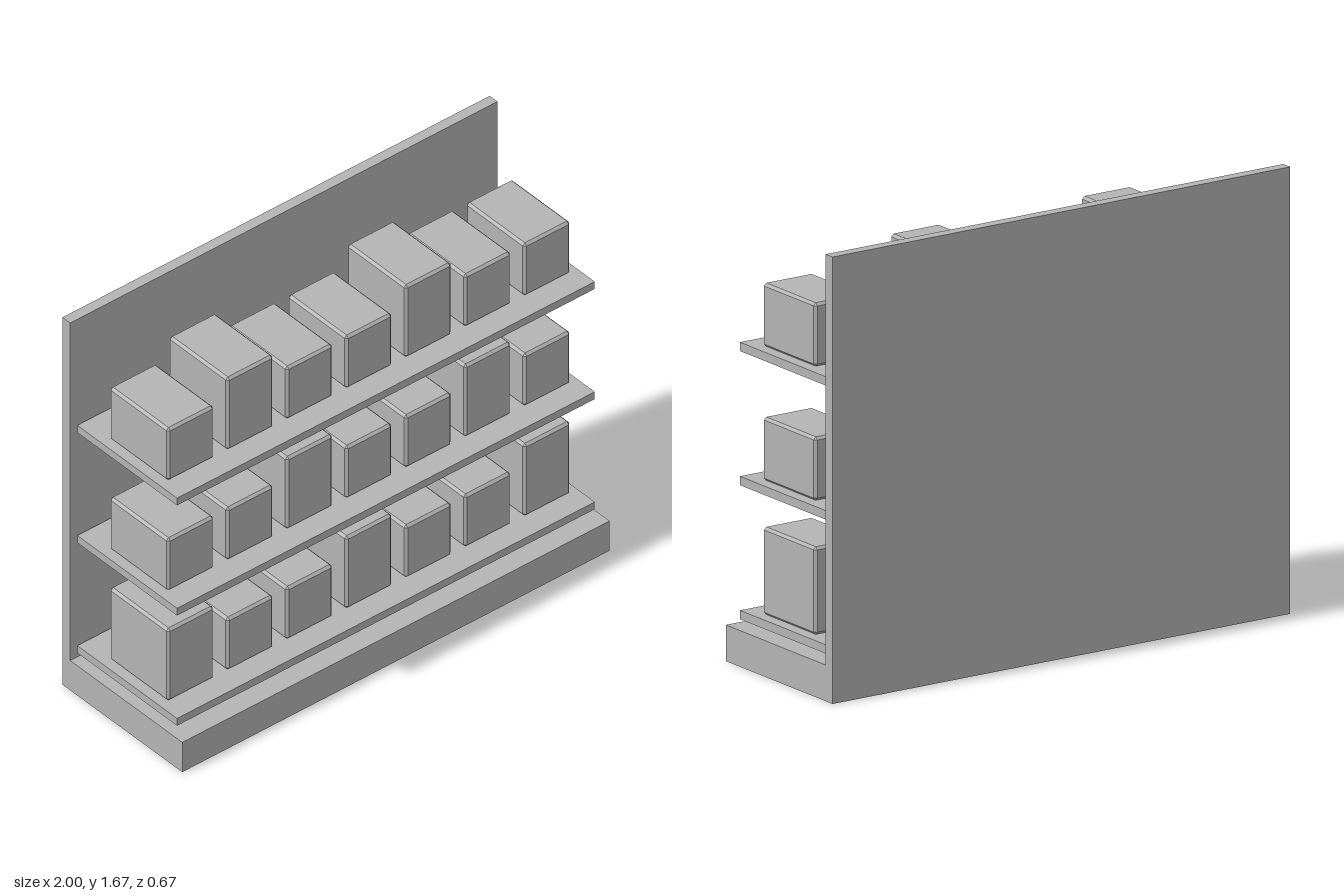
import * as THREE from 'three';
import { ConvexGeometry } from 'three/addons/geometries/ConvexGeometry.js';

const grey = new THREE.MeshStandardMaterial({ color: 0xb4b4b4 });
grey.name = 'light grey';

function addMesh(parent, name, geometry, x = 0, y = 0, z = 0) {
  const mesh = new THREE.Mesh(geometry, grey);
  mesh.name = name;
  mesh.position.set(x, y, z);
  parent.add(mesh);
  return mesh;
}

// Box with a flat chamfer c on every edge, standing on y = 0
function chamferedBox(w, h, d, c) {
  const points = [];
  for (const sx of [-1, 1]) for (const sy of [-1, 1]) for (const sz of [-1, 1]) {
    for (let axis = 0; axis < 3; axis++) {
      const inset = [c, c, c];
      inset[axis] = 0;
      points.push(new THREE.Vector3(
        sx * (w / 2 - inset[0]),
        h / 2 + sy * (h / 2 - inset[1]),
        sz * (d / 2 - inset[2])
      ));
    }
  }
  return new ConvexGeometry(points);
}

export function createModel() {
  const model = new THREE.Group();
  model.name = 'shopShelf';

  // Plinth and back panel as one L-shaped profile (z, y) run across the width
  const profile = new THREE.Shape([
    [-0.333, 0], [0.333, 0], [0.333, 0.135],
    [-0.29, 0.135], [-0.29, 1.667], [-0.333, 1.667]
  ].map(([z, y]) => new THREE.Vector2(z, y)));
  const frame = new THREE.ExtrudeGeometry(profile, { depth: 2, bevelEnabled: false });
  frame.rotateY(-Math.PI / 2).translate(1, 0, 0);
  addMesh(model, 'baseAndBackPanel', frame);

  const shelfGeometry = new THREE.BoxGeometry(1.955, 0.033, 0.554);
  const shortBox = chamferedBox(0.217, 0.237, 0.328, 0.01);
  const tallBox = chamferedBox(0.217, 0.327, 0.328, 0.01);

  // Three shelves of seven boxes, every third box tall and shifted per row
  for (let row = 0; row < 3; row++) {
    const top = 0.2 + row * 0.5;
    const level = new THREE.Group();
    level.name = 'shelfLevel' + (row + 1);
    addMesh(level, 'shelf', shelfGeometry, 0, top - 0.0175, 0);
    for (let i = 0; i < 7; i++) {
      const tall = (i + row) % 3 === 0;
      addMesh(level, tall ? 'tallBox' : 'shortBox', tall ? tallBox : shortBox,
        (i - 3) * 0.278, top, 0.022);
    }
    model.add(level);
  }
  return model;
}
